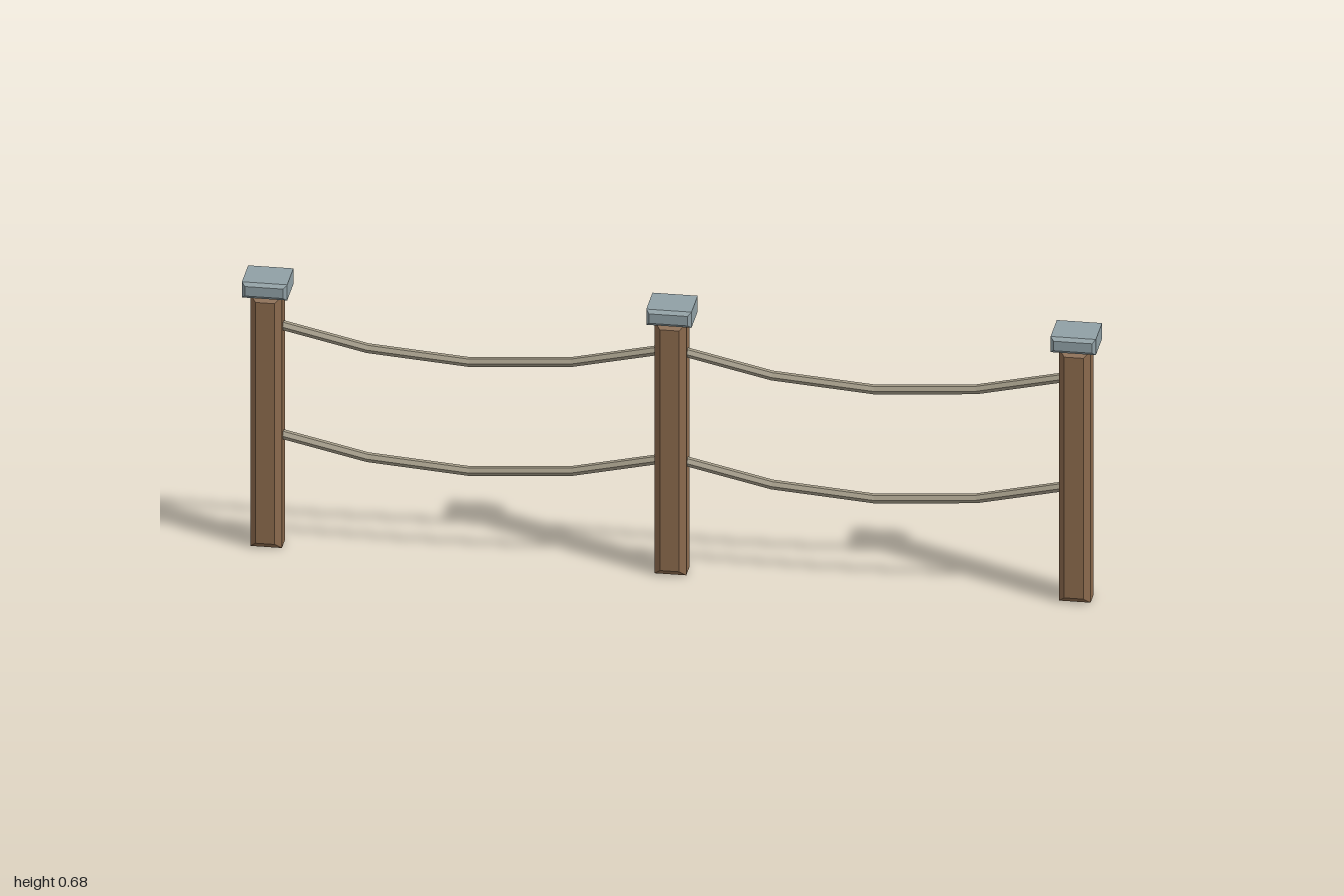
import * as THREE from 'three';

const wood = new THREE.MeshStandardMaterial({ color: 0x8b6a4d, flatShading: true });
const metal = new THREE.MeshStandardMaterial({ color: 0x90a0a5, flatShading: true });
const rope = new THREE.MeshStandardMaterial({ color: 0xa39b87, flatShading: true });

const SPACING = 0.947;
const POST_HEIGHT = 0.643;

// Block standing on y = 0, with its front and back faces chamfered
function chamferedBlock(width, height, depth, bevel) {
  const x = width / 2 - bevel;
  const shape = new THREE.Shape([
    new THREE.Vector2(-x, bevel), new THREE.Vector2(x, bevel),
    new THREE.Vector2(x, height - bevel), new THREE.Vector2(-x, height - bevel),
  ]);
  const core = depth - 2 * bevel;
  return new THREE.ExtrudeGeometry(shape, {
    depth: core, bevelEnabled: true, bevelSegments: 1, bevelSize: bevel, bevelThickness: bevel,
  }).translate(0, 0, -core / 2);
}

// Sagging rope from one post centre to the next
function ropeGeometry(x0, endY, sag) {
  const curve = new THREE.QuadraticBezierCurve3(
    new THREE.Vector3(x0, endY, 0),
    new THREE.Vector3(x0 + SPACING / 2, endY - 2 * sag, 0),
    new THREE.Vector3(x0 + SPACING, endY, 0),
  );
  return new THREE.TubeGeometry(curve, 4, 0.0115, 6, false);
}

export function createModel() {
  const group = new THREE.Group();
  const add = (name, geometry, material, x = 0, y = 0) => {
    const mesh = new THREE.Mesh(geometry, material);
    mesh.name = name;
    mesh.position.set(x, y, 0);
    group.add(mesh);
  };

  // Three posts with caps
  const postGeometry = chamferedBlock(0.074, POST_HEIGHT, 0.074, 0.0145);
  const capGeometry = chamferedBlock(0.106, 0.04, 0.107, 0.008);
  ['rightPost', 'middlePost', 'leftPost'].forEach((name, i) => {
    const x = (i - 1) * SPACING;
    add(name, postGeometry, wood, x);
    add(name + 'Cap', capGeometry, metal, x, POST_HEIGHT);
  });

  // Upper and lower rope in each bay
  ['right', 'left'].forEach((side, i) => {
    const x0 = (i - 1) * SPACING;
    add(side + 'UpperRope', ropeGeometry(x0, 0.566, 0.07), rope);
    add(side + 'LowerRope', ropeGeometry(x0, 0.288, 0.07), rope);
  });

  return group;
}
